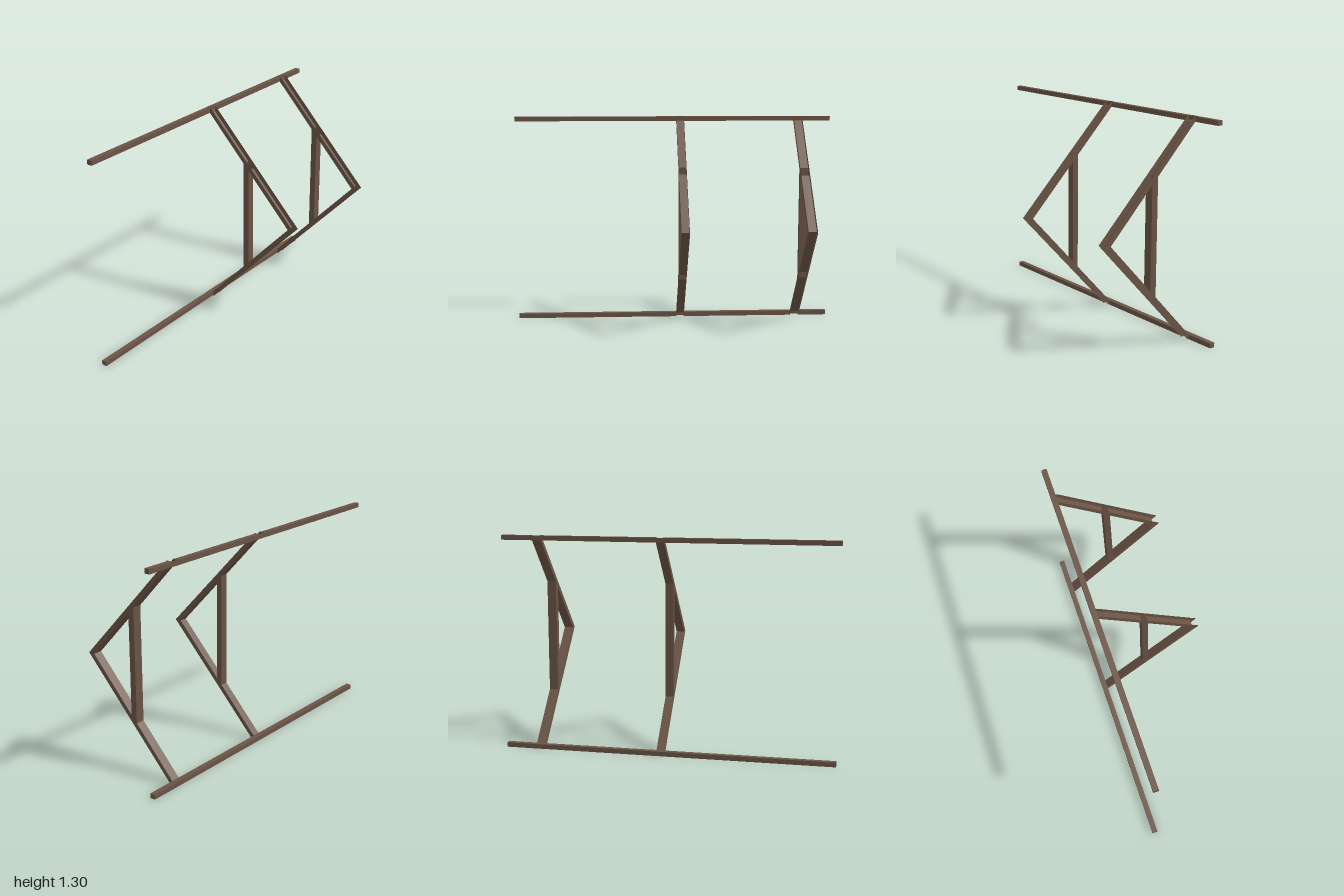
import * as THREE from 'three';

const H = 1.3, MID = 0.65;           // overall height and mid height
const FRONT = -0.294, BACK = -0.326; // depth range of the rails
const RAIL_H = 0.028;
const TIP_IN = 0.286, TIP_OUT = 0.326; // inner and outer points of the V

// each bracket: x range, and front/back faces of its post
const brackets = [
  { name: 'middleBracket', x0: 0.018, x1: 0.067, f: -0.006, b: -0.042 },
  { name: 'leftBracket', x0: 0.765, x1: 0.82, f: 0.004, b: -0.035 },
];

// height of the inner edge of the upper arm at depth z
const inner = (z) => MID + (TIP_IN - z) * (H - RAIL_H - MID) / (TIP_IN - FRONT);

// flat strip from profile point p to q (each [z, y]), spanning a..b along x
function strip(a, b, p, q) {
  const corners = [[a, p], [b, p], [b, q], [a, p], [b, q], [a, q]];
  const g = new THREE.BufferGeometry();
  g.setAttribute('position', new THREE.Float32BufferAttribute(
    corners.flatMap(([x, [z, y]]) => [x, y, z]), 3));
  g.computeVertexNormals();
  return g;
}

// flat side plate from a [z, y] outline, standing at the given x
function plate(outline, x, hole = null) {
  const pts = (list) => list.map(([z, y]) => new THREE.Vector2(z, y));
  const shape = new THREE.Shape(pts(outline));
  if (hole) shape.holes.push(new THREE.Path(pts(hole)));
  return new THREE.ShapeGeometry(shape).rotateY(-Math.PI / 2).translate(x, 0, 0);
}

export function createModel() {
  const model = new THREE.Group();
  model.name = 'wallBracketFrame';
  // thin open channels, so both sides show
  const wood = new THREE.MeshStandardMaterial({ color: 0x6b5446, side: THREE.DoubleSide });
  wood.name = 'brownWood';

  const addGroup = (name) => {
    const group = new THREE.Group();
    group.name = name;
    model.add(group);
    return group;
  };
  const add = (parent, name, geometry) => {
    const mesh = new THREE.Mesh(geometry, wood);
    mesh.name = name;
    parent.add(mesh);
  };

  // V-shaped brackets: channels open along the outer edge, with a hollow post
  for (const { name, x0, x1, f, b } of brackets) {
    const bracket = addGroup(name);
    const outline = [
      [TIP_OUT, MID], [-0.285, H], [FRONT, H], [FRONT, H - RAIL_H],
      [b, inner(b)], [b, H - inner(b)],
      [FRONT, RAIL_H], [FRONT, 0], [-0.285, 0],
    ];
    const hole = [[TIP_IN, MID], [f, inner(f)], [f, H - inner(f)]];
    for (const x of [x0, x1]) add(bracket, 'bracketSide', plate(outline, x, hole));

    // inner arm walls in front of and behind the post, upper and lower
    for (const mirror of [(y) => y, (y) => H - y]) {
      for (const [za, zb] of [[TIP_IN, f], [b, FRONT]]) {
        add(bracket, 'armWall', strip(x0, x1, [za, mirror(inner(za))], [zb, mirror(inner(zb))]));
      }
    }
    for (const z of [f, b]) {
      add(bracket, 'postWall', strip(x0, x1, [z, H - inner(z)], [z, inner(z)]));
    }
  }

  // long rails, with openings in front and on the outer side where the arms join
  const [m, l] = brackets;
  const spans = [[-1, m.x0], [m.x1, l.x0], [l.x1, 1]];
  for (const [name, yOut, yIn] of [['bottomRail', 0, RAIL_H], ['topRail', H, H - RAIL_H]]) {
    const rail = addGroup(name);
    add(rail, 'railBack', strip(-1, 1, [BACK, yOut], [BACK, yIn]));
    add(rail, 'railInnerSide', strip(-1, 1, [BACK, yIn], [FRONT, yIn]));
    for (const [a, b] of spans) {
      add(rail, 'railFront', strip(a, b, [FRONT, yIn], [FRONT, yOut]));
      add(rail, 'railOuterSide', strip(a, b, [FRONT, yOut], [BACK, yOut]));
    }
    for (const x of [-1, 1]) {
      add(rail, 'railEnd', plate([[BACK, yOut], [FRONT, yOut], [FRONT, yIn], [BACK, yIn]], x));
    }
  }
  return model;
}
